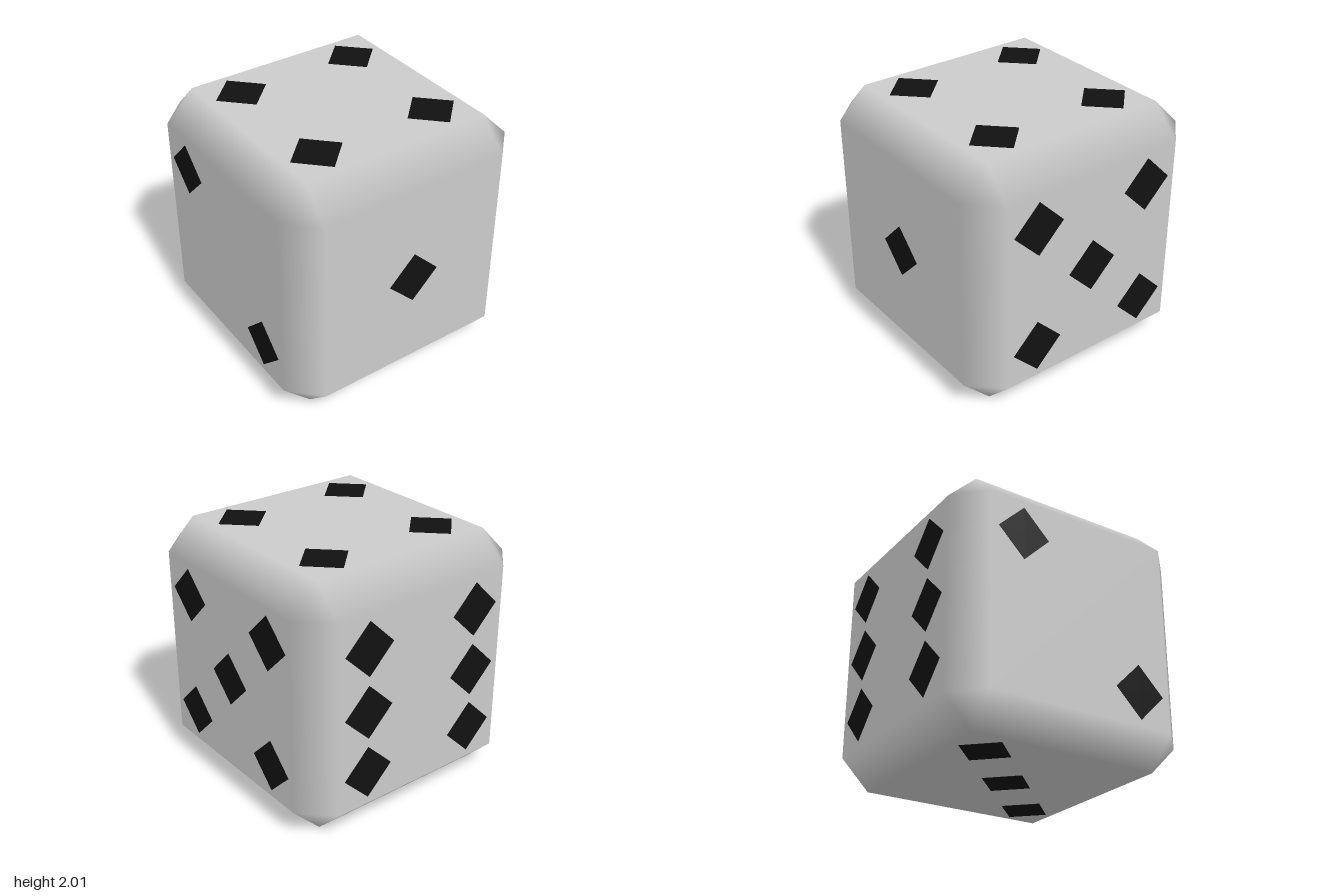
import * as THREE from 'three';

const INNER = 0.77; // half width of each flat face
const OUTER = 1;

// Chamfered cube: 6 flat faces, 12 bevel strips and 8 corner triangles.
// Each vertex keeps the normal of its flat face, so the bevels shade smoothly.
function chamferedCube() {
  const positions = [], normals = [], index = [];
  const signs = [-1, 1];
  // vertex on the face of the given axis, in the octant s
  const id = (axis, s) => axis * 8 + (s[0] > 0 ? 4 : 0) + (s[1] > 0 ? 2 : 0) + (s[2] > 0 ? 1 : 0);
  const octants = [];
  for (const x of signs) for (const y of signs) for (const z of signs) octants.push([x, y, z]);

  for (let axis = 0; axis < 3; axis++) {
    for (const s of octants) {
      positions.push(...s.map((v, i) => v * (i === axis ? OUTER : INNER)));
      normals.push(...s.map((v, i) => (i === axis ? v : 0)));
    }
  }

  // add a triangle wound so that it faces outwards
  const point = (i) => new THREE.Vector3().fromArray(positions, i * 3);
  const tri = (a, b, c) => {
    const pa = point(a), n = point(b).sub(pa).cross(point(c).sub(pa));
    index.push(...(n.dot(pa) > 0 ? [a, b, c] : [a, c, b]));
  };
  const quad = (a, b, c, d) => { tri(a, b, c); tri(a, c, d); };

  for (let a = 0; a < 3; a++) {
    const b = (a + 1) % 3, c = (a + 2) % 3;
    const octant = (sa, sb, sc) => {
      const s = [];
      s[a] = sa; s[b] = sb; s[c] = sc;
      return s;
    };
    for (const sa of signs) {
      // flat face
      quad(...[[-1, -1], [1, -1], [1, 1], [-1, 1]].map(([sb, sc]) => id(a, octant(sa, sb, sc))));
      // bevel strip between the faces of axes a and b
      for (const sb of signs) {
        const lo = octant(sa, sb, -1), hi = octant(sa, sb, 1);
        quad(id(a, lo), id(a, hi), id(b, hi), id(b, lo));
      }
    }
  }
  for (const s of octants) tri(id(0, s), id(1, s), id(2, s)); // corners

  const geometry = new THREE.BufferGeometry();
  geometry.setAttribute('position', new THREE.Float32BufferAttribute(positions, 3));
  geometry.setAttribute('normal', new THREE.Float32BufferAttribute(normals, 3));
  geometry.setIndex(index);
  return geometry;
}

export function createModel() {
  const model = new THREE.Group();
  model.name = 'die';

  const body = new THREE.Mesh(chamferedCube(), new THREE.MeshStandardMaterial({ color: 0xcccccc }));
  body.name = 'body';
  body.position.y = 1;
  model.add(body);

  // thin diamond-shaped pips, lying just proud of each face
  const pipMaterial = new THREE.MeshStandardMaterial({ color: 0x111111 });
  const pipGeometry = new THREE.CylinderGeometry(0.215, 0.215, 0.01, 4).rotateX(Math.PI / 2);

  const h = 0.5, q = Math.PI / 2;
  const square = [[-h, -h], [h, -h], [-h, h], [h, h]];
  const faces = [
    { name: 'frontPips', turn: [0, 0], pips: [[0, 0]] },
    { name: 'leftPips', turn: [0, q], pips: [...square, [0, 0]] },
    { name: 'backPips', turn: [0, 2 * q], pips: [...square, [-h, 0], [h, 0]] },
    { name: 'rightPips', turn: [0, -q], pips: [[-h, h], [h, -h]] },
    { name: 'topPips', turn: [-q, 0], pips: square },
    { name: 'bottomPips', turn: [q, 0], pips: [[-h, -h], [0, 0], [h, h]] },
  ];
  for (const { name, turn, pips } of faces) {
    const face = new THREE.Group();
    face.name = name;
    face.position.y = 1;
    face.rotation.set(turn[0], turn[1], 0);
    for (const [x, y] of pips) {
      const pip = new THREE.Mesh(pipGeometry, pipMaterial);
      pip.name = 'pip';
      pip.position.set(x, y, OUTER - 0.002);
      face.add(pip);
    }
    model.add(face);
  }
  return model;
}
